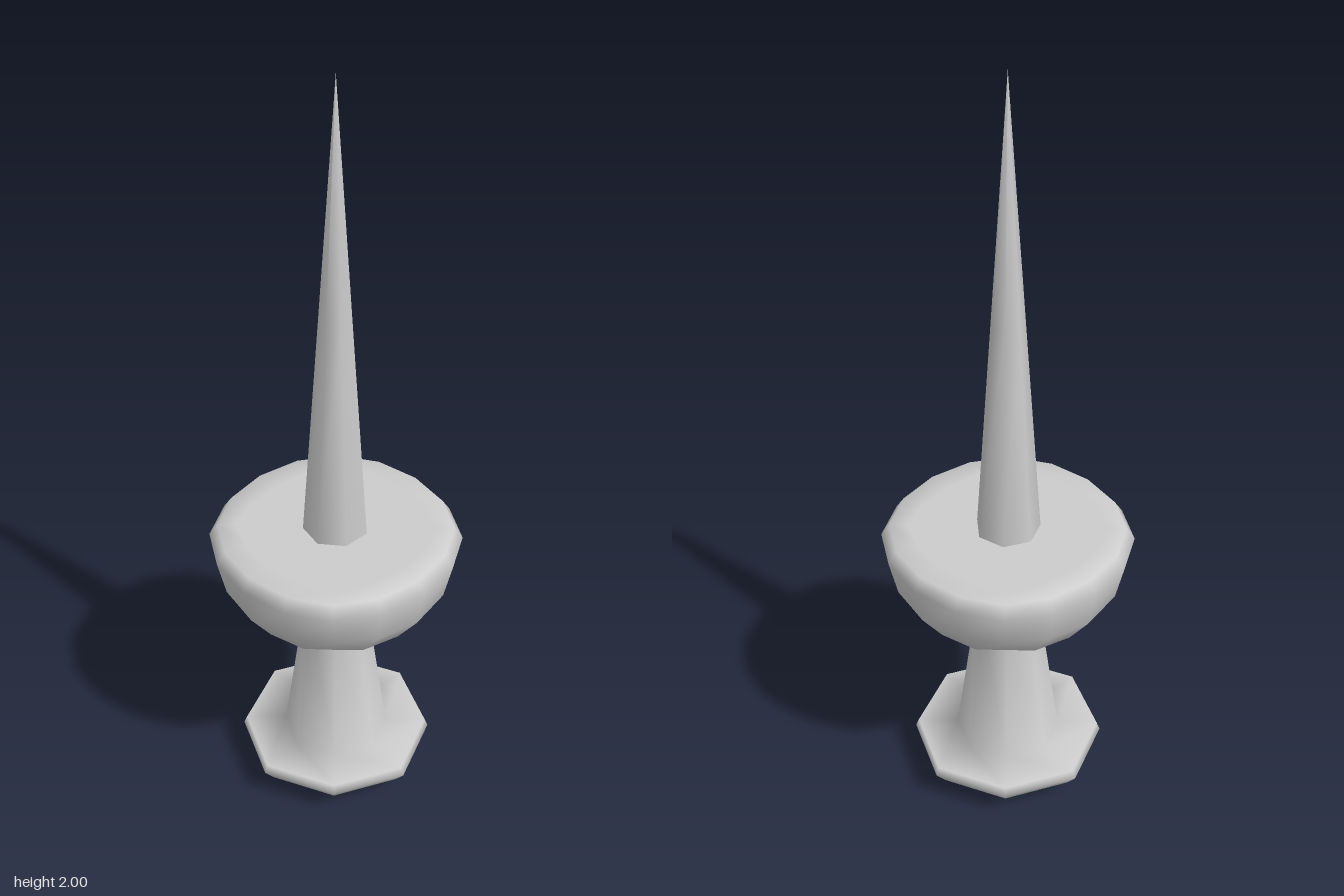
import * as THREE from 'three';
import { mergeVertices } from 'three/addons/utils/BufferGeometryUtils.js';

const material = new THREE.MeshStandardMaterial({ color: 0xcccccc });

function part(name, geometry) {
  const mesh = new THREE.Mesh(geometry, material);
  mesh.name = name;
  return mesh;
}

// Cube rounded by two steps of subdivision; unit radius along each axis.
// Each grid point is looked up by its largest, middle and smallest coordinate.
const ROUNDED = {
  '1,0,0': [1, 0, 0],
  '1,0.5,0': [0.933, 0.399, 0],
  '1,1,0': [0.732, 0.732, 0],
  '1,0.5,0.5': [0.87, 0.371, 0.371],
  '1,1,0.5': [0.682, 0.682, 0.344],
  '1,1,1': [0.58, 0.58, 0.58],
};

function roundedCube() {
  let geo = new THREE.BoxGeometry(2, 2, 2, 4, 4, 4);
  geo.deleteAttribute('uv');
  geo.deleteAttribute('normal');
  geo = mergeVertices(geo);
  const pos = geo.attributes.position;
  for (let i = 0; i < pos.count; i++) {
    const p = [pos.getX(i), pos.getY(i), pos.getZ(i)];
    const sizes = p.map(Math.abs).sort((a, b) => b - a);
    const target = ROUNDED[sizes.join(',')];
    pos.setXYZ(i, ...p.map((v) => Math.sign(v) * target[sizes.indexOf(Math.abs(v))]));
  }
  return geo;
}

// Bowl: squashed round body cut flat at the top
function bowlGeometry() {
  const geo = roundedCube();
  geo.scale(0.31, 0.264, 0.31);
  geo.translate(0, 0.768, 0);
  const pos = geo.attributes.position;
  for (let i = 0; i < pos.count; i++) pos.setY(i, Math.min(pos.getY(i), 0.8));
  geo.computeVertexNormals();
  return geo;
}

// Foot and stem: one eight-sided profile, slightly drawn in on the diagonals
function standGeometry() {
  const profile = [
    [0, 0], [0.17, 0.004], [0.235, 0.048], [0.264, 0.087], [0.255, 0.11],
    [0.143, 0.112], [0.088, 0.51], [0.08, 0.56],
  ].map(([r, y]) => new THREE.Vector2(r, y));
  const geo = new THREE.LatheGeometry(profile, 8);
  const pos = geo.attributes.position;
  for (let i = 0; i < pos.count; i++) {
    const x = pos.getX(i), z = pos.getZ(i);
    const k = Math.abs(x * z) > 1e-5 ? 0.97 : 1;
    pos.setX(i, x * k);
    pos.setZ(i, z * k);
  }
  return geo;
}

export function createModel() {
  const group = new THREE.Group();
  group.name = 'spikedStand';
  group.add(part('footAndStem', standGeometry()));
  group.add(part('bowl', bowlGeometry()));

  // Tall seven-sided spike with one corner at the back
  const spike = part('spike', new THREE.ConeGeometry(0.083, 1.2, 7, 2, false, Math.PI));
  spike.position.y = 1.4;
  group.add(spike);
  return group;
}
